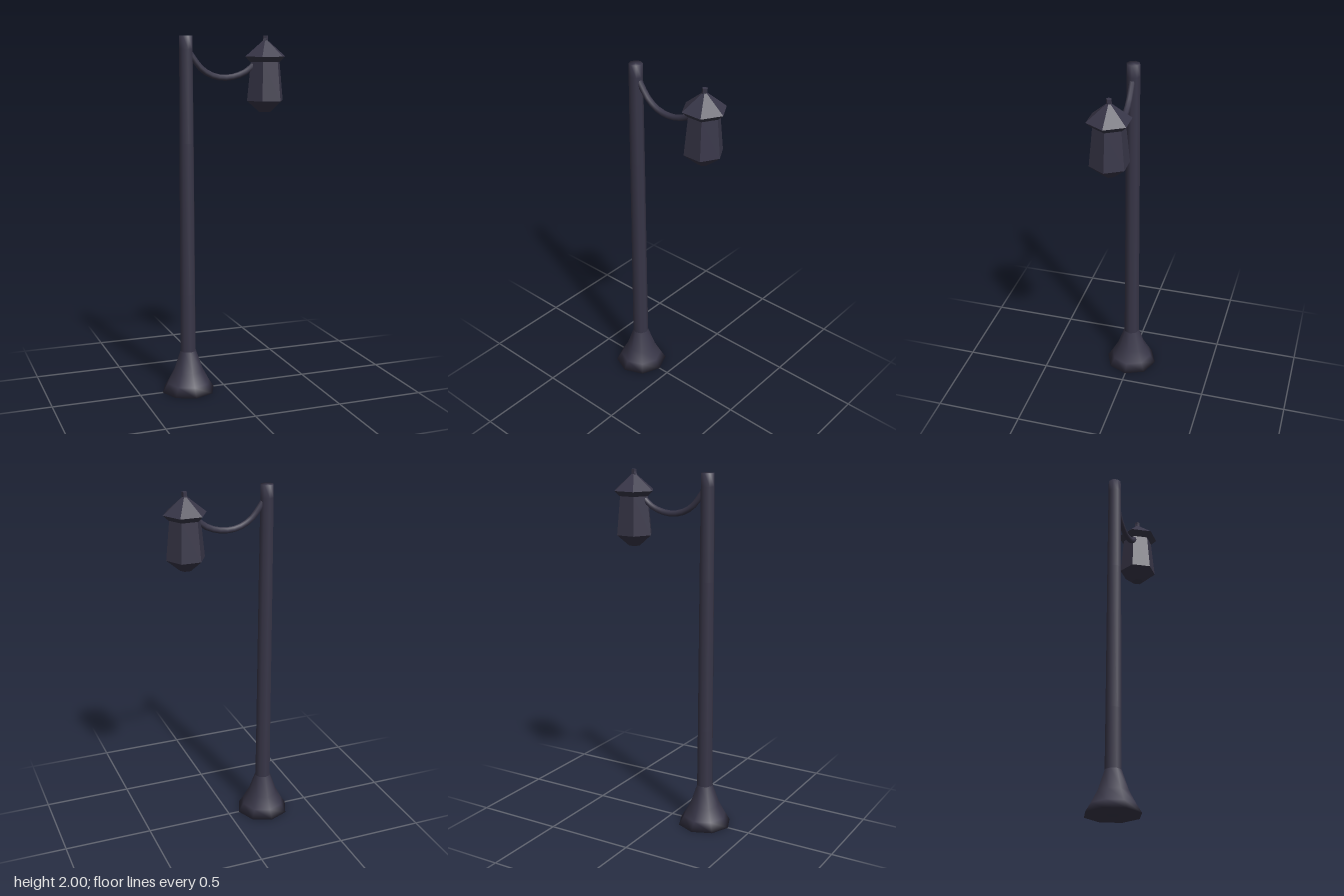
import * as THREE from 'three';

const POLE_X = -0.216;
const LAMP_X = 0.246;

// Turned shape from [radius, height] pairs, listed bottom to top
function turned(profile, sides, start = 0) {
  return new THREE.LatheGeometry(profile.map(([r, y]) => new THREE.Vector2(r, y)), sides, start);
}

// Gives every face its own normal
function faceted(geometry) {
  const g = geometry.toNonIndexed();
  g.computeVertexNormals();
  return g;
}

export function createModel() {
  const model = new THREE.Group();
  model.name = 'streetLamp';
  const iron = new THREE.MeshStandardMaterial({ color: 0x383648 });
  iron.name = 'dark iron';

  function add(name, geometry, x = 0, parent = model) {
    const mesh = new THREE.Mesh(geometry, iron);
    mesh.name = name;
    mesh.position.x = x;
    parent.add(mesh);
    return mesh;
  }

  // Flared octagonal foot, softly shaded and closed underneath
  add('foot', turned([[0, 0], [0.153, 0], [0.123, 0.05], [0.086, 0.12], [0.046, 0.235]], 8), POLE_X);

  // Slightly tapered pole with a closed, softly shaded top
  add('pole', turned([[0.046, 0.225], [0.044, 0.57], [0.041, 1.42], [0.038, 1.93], [0.037, 2], [0, 2]], 8), POLE_X);

  // Sagging arm between pole and lantern
  const armPath = new THREE.CatmullRomCurve3([
    [-0.205, 1.925], [-0.175, 1.88], [-0.125, 1.82], [-0.06, 1.783], [0.01, 1.772],
    [0.08, 1.783], [0.14, 1.81], [0.19, 1.855],
  ].map(([x, y]) => new THREE.Vector3(x, y, 0)));
  add('arm', new THREE.TubeGeometry(armPath, 12, 0.017, 8), 0);

  // Hexagonal lantern with corners pointing along x
  const lantern = new THREE.Group();
  lantern.name = 'lantern';
  lantern.position.x = LAMP_X;
  model.add(lantern);
  const hex = (profile) => faceted(turned(profile, 6, Math.PI / 6));
  add('lanternBase', hex([[0, 1.58], [0.034, 1.58], [0.108, 1.643]]), 0, lantern);
  add('lanternBody', hex([[0.108, 1.643], [0.086, 1.86]]), 0, lantern);
  add('lanternRoof', hex([[0.08, 1.857], [0.09, 1.857], [0.12, 1.886], [0.012, 1.975], [0, 1.975]]), 0, lantern);

  // Small bent finial made of two five-sided pieces
  const lower = add('finialStem', faceted(new THREE.CylinderGeometry(0.014, 0.016, 0.035, 5)), -0.004, lantern);
  lower.position.y = 1.968;
  lower.rotation.z = -0.2;
  const upper = add('finialTip', faceted(new THREE.CylinderGeometry(0.015, 0.014, 0.024, 5)), 0, lantern);
  upper.position.y = 1.988;

  return model;
}
